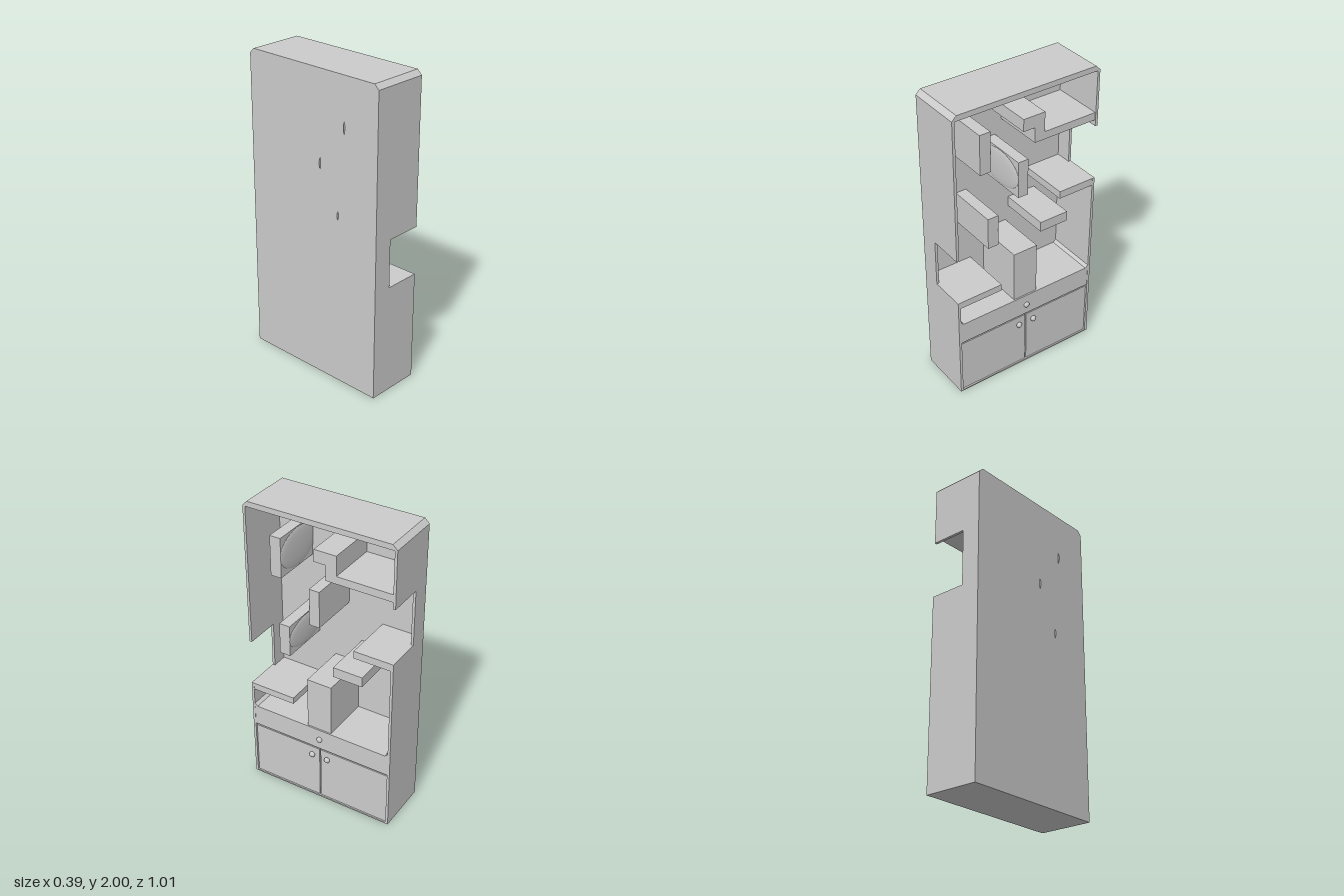
import * as THREE from 'three';

const mat = new THREE.MeshStandardMaterial({ color: 0xcccccc });
const BACK = -0.185, FRONT = 0.175, HALF = 0.505, WALL = 0.017;
const INNER = HALF - WALL, INSIDE = BACK + 0.02;

export function createModel() {
  const group = new THREE.Group();

  const add = (name, geometry) => {
    const mesh = new THREE.Mesh(geometry, mat);
    mesh.name = name;
    group.add(mesh);
    return mesh;
  };
  const outline = (points) => new THREE.Shape(points.map(([a, b]) => new THREE.Vector2(a, b)));

  // Box given by its limits on each axis
  const block = (name, x0, x1, y0, y1, z0, z1) =>
    add(name, new THREE.BoxGeometry(x1 - x0, y1 - y0, z1 - z0))
      .position.set((x0 + x1) / 2, (y0 + y1) / 2, (z0 + z1) / 2);

  // Prism along x from an outline of [z, y] points
  const prism = (name, points, x0, x1) => {
    const geo = new THREE.ExtrudeGeometry(outline(points.map(([z, y]) => [-z, y])),
      { depth: x1 - x0, bevelEnabled: false });
    geo.rotateY(Math.PI / 2);
    geo.translate(x0, 0, 0);
    add(name, geo);
  };

  // Side walls, each with a window cut in from the open face
  const sideWall = (name, z0, low, high) => {
    const geo = new THREE.ExtrudeGeometry(outline([
      [BACK, 0], [FRONT, 0], [FRONT, low], [-0.06, low],
      [-0.06, high], [FRONT, high], [FRONT, 1.965], [BACK, 1.965],
    ]), { depth: WALL, bevelEnabled: false });
    geo.translate(0, 0, z0);
    add(name, geo);
  };
  sideWall('leftSideWall', INNER, 0.72, 1.035);
  sideWall('rightSideWall', -HALF, 1.23, 1.6);

  // Back panel and chamfered top
  block('backPanel', BACK, INSIDE, 0, 1.965, -INNER, INNER);
  prism('top', [[-HALF, 1.965], [HALF, 1.965], [HALF, 1.97], [0.475, 2],
    [-0.475, 2], [-HALF, 1.97]], BACK, FRONT);

  // Base cabinet with counter, drawer and doors
  block('baseCabinet', INSIDE, 0.158, 0, 0.54, -INNER, INNER);
  block('counter', INSIDE, FRONT, 0.535, 0.545, -INNER, INNER);
  block('bottomRail', 0.15, FRONT, 0, 0.01, -INNER, INNER);
  block('drawerFront', 0.15, 0.173, 0.4, 0.536, -INNER, INNER);
  for (const s of [-1, 1]) {
    const a = s * 0.004, b = s * 0.484;
    block('door', 0.15, 0.167, 0.012, 0.385, Math.min(a, b), Math.max(a, b));
    // Small fillet between counter and wall
    const corner = [[s * INNER, 0.545], [s * (INNER - 0.02), 0.545], [s * INNER, 0.562]];
    prism('cornerFillet', s > 0 ? corner : corner.reverse(), INSIDE, FRONT);
  }

  // Knobs
  for (const [y, z] of [[0.47, 0], [0.328, 0.055], [0.328, -0.055]]) {
    const knob = add('knob', new THREE.SphereGeometry(0.019, 20, 14));
    knob.scale.x = 0.75;
    knob.position.set(0.176, y, z);
  }

  // Stepped upper shelf
  prism('steppedShelf', [[0.03, 1.82], [0.03, 1.74], [-0.05, 1.74], [-0.05, 1.64],
    [-INNER, 1.64], [-INNER, 1.69], [-0.12, 1.69], [-0.12, 1.82]], INSIDE, 0.17);

  // Plain shelves and the upright block on the counter
  block('rightShelf', INSIDE, 0.174, 1.18, 1.23, -INNER, -0.24);
  block('middleShelf', INSIDE, 0.174, 0.995, 1.062, -0.3, -0.1);
  block('leftShelf', INSIDE, 0.174, 0.675, 0.72, 0.19, INNER);
  block('uprightBlock', INSIDE, 0.165, 0.545, 0.895, -0.08, 0.09);

  // Upright panels, each with a shallow lens-shaped bulge on one side
  for (const [z0, z1, y0, y1, face] of [
    [0.255, 0.328, 1.56, 1.822, 0.255],
    [-0.005, 0.065, 1.305, 1.548, 0.065],
    [0.207, 0.28, 1.03, 1.24, 0.207],
  ]) {
    block('uprightPanel', INSIDE, 0.17, y0, y1, z0, z1);
    const lens = add('panelBulge', new THREE.SphereGeometry(1, 40, 24));
    lens.scale.set(0.184, (y1 - y0) / 2 - 0.006, 0.011);
    lens.position.set(-0.011, (y0 + y1) / 2, face);
  }

  return group;
}
